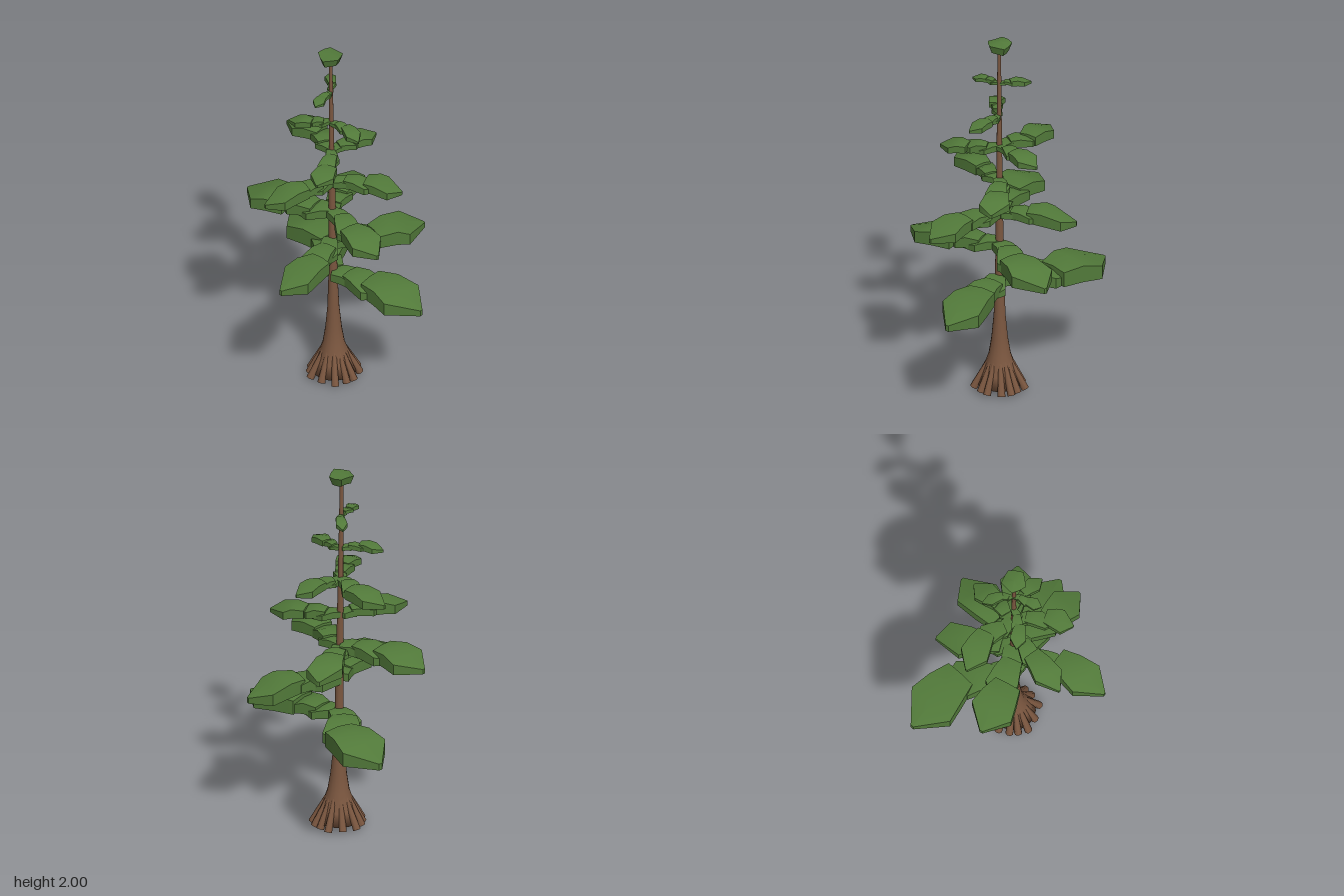
import * as THREE from 'three';
import { toCreasedNormals } from 'three/addons/utils/BufferGeometryUtils.js';

const bark = new THREE.MeshStandardMaterial({ color: 0x7a563f });
bark.name = 'bark brown';
const leaf = new THREE.MeshStandardMaterial({ color: 0x527a3a, side: THREE.DoubleSide });
leaf.name = 'leaf green';

// Trunk axis leans slightly from base to top
const axisAt = (y) => new THREE.Vector3(-0.021 - 0.007 * y, y, -0.042 + 0.006 * y);

// Arched leaf slab from base to tip, thinning outward; k pushes one wide corner out
function frond(y, bx, bz, tx, tz, w, k = 0) {
  const len = Math.hypot(tx - bx, tz - bz);
  const dx = (tx - bx) / len, dz = (tz - bz) / len;
  // along, half width, top height, underside height
  const rows = [[0, 0.62, 0.13, -0.1], [0.31, 0.84, 0.17, -0.09], [0.61, 1, 0.09, -0.12], [1, 0.07, -0.07, -0.17]];
  const pos = [];
  for (const layer of [2, 3]) {
    rows.forEach((row, i) => {
      for (const s of [-1, 0, 1]) {
        const along = (row[0] + (i === 2 ? s * k : 0)) * len, side = s * row[1] * w;
        pos.push(
          bx + dx * along - dz * side,
          y + (row[layer] - 0.04 * Math.abs(s) * row[1]) * len,
          bz + dz * along + dx * side);
      }
    });
  }
  const idx = [];
  for (let i = 0; i < 3; i++) {
    for (let j = 0; j < 2; j++) {
      const a = i * 3 + j, b = a + 12;
      idx.push(a, a + 1, a + 3, a + 1, a + 4, a + 3);
      idx.push(b, b + 3, b + 1, b + 1, b + 3, b + 4);
    }
  }
  const ring = [0, 1, 2, 5, 8, 11, 10, 9, 6, 3];
  ring.forEach((p, i) => {
    const q = ring[(i + 1) % ring.length];
    idx.push(p + 12, q + 12, q, p + 12, q, p);
  });
  const g = new THREE.BufferGeometry();
  g.setAttribute('position', new THREE.Float32BufferAttribute(pos, 3));
  g.setIndex(idx);
  const mesh = new THREE.Mesh(toCreasedNormals(g, 0.7), leaf);
  mesh.name = 'frond';
  return mesh;
}

// Branch: two small overlapping fronds lead out to the large end frond
function branch(y, bx, bz, tx, tz, w, k) {
  const g = new THREE.Group();
  g.name = 'branch';
  const c = axisAt(y);
  const ex = bx + (tx - bx) * 0.2, ez = bz + (tz - bz) * 0.2;
  const at = (t, off) => [
    c.x + (ex - c.x) * t - (ez - c.z) * off,
    c.z + (ez - c.z) * t + (ex - c.x) * off];
  g.add(frond(y, bx, bz, tx, tz, w, k));
  g.add(frond(y, ...at(0.32, -0.05), ...at(1.12, 0.12), w * 0.72, 0.08));
  g.add(frond(y - 0.006, ...at(0.02, 0.04), ...at(0.66, -0.14), w * 0.55, -0.08));
  return g;
}

export function createModel() {
  const model = new THREE.Group();
  model.name = 'tree';

  // Trunk with flared foot
  const profile = [[0, 0.035], [0.116, 0.035], [0.09, 0.1], [0.057, 0.2], [0.043, 0.29],
    [0.031, 0.42], [0.024, 0.6], [0.019, 1], [0.014, 1.4], [0.009, 1.96]];
  const trunkGeo = new THREE.LatheGeometry(profile.map((p) => new THREE.Vector2(...p)), 16);
  const p = trunkGeo.attributes.position;
  for (let i = 0; i < p.count; i++) {
    const c = axisAt(p.getY(i));
    p.setX(i, p.getX(i) + c.x);
    p.setZ(i, p.getZ(i) + c.z);
  }
  const trunk = new THREE.Mesh(trunkGeo, bark);
  trunk.name = 'trunk';
  model.add(trunk);

  // Roots fanning around the foot
  const roots = new THREE.Group();
  roots.name = 'roots';
  for (let i = 0; i < 13; i++) {
    const a = (i / 13) * Math.PI * 2 + 0.12 * Math.sin(i * 5.1);
    const r = 0.128 + 0.008 * Math.sin(i * 3.7);
    const top = axisAt(0.17).add(new THREE.Vector3(Math.cos(a) * 0.054, 0, Math.sin(a) * 0.054));
    const end = axisAt(0.014).add(new THREE.Vector3(Math.cos(a) * r, 0, Math.sin(a) * r));
    const dir = top.clone().sub(end);
    const root = new THREE.Mesh(new THREE.CylinderGeometry(0.011, 0.021, dir.length(), 7), bark);
    root.position.copy(top).add(end).multiplyScalar(0.5);
    root.quaternion.setFromUnitVectors(new THREE.Vector3(0, 1, 0), dir.normalize());
    root.name = 'root';
    roots.add(root);
  }
  model.add(roots);

  // Branches by tier: y, base x z, tip x z, half width, corner shift
  const lower = [
    [0.645, -0.185, -0.26, -0.53, -0.36, 0.135, 0],
    [0.64, 0.19, -0.065, 0.525, -0.055, 0.12, -0.05],
    [0.84, 0.055, 0.17, 0.015, 0.465, 0.097, -0.05],
    [0.835, 0.12, -0.19, 0.235, -0.47, 0.105, -0.1],
    [1.02, -0.24, 0.04, -0.515, 0.03, 0.115, 0],
    [1.02, 0.15, 0.06, 0.385, 0.13, 0.09, 0],
    [1.015, -0.095, -0.17, -0.17, -0.41, 0.085, 0.14],
  ];
  const upper = [
    [1.2, -0.095, 0.1, -0.195, 0.315, 0.072, -0.07],
    [1.205, 0.12, -0.125, 0.305, -0.185, 0.075, 0.1],
    [1.4, -0.16, -0.125, -0.38, -0.125, 0.075, 0],
    [1.395, 0.06, 0.1, 0.085, 0.25, 0.062, 0.05],
    [1.4, 0.01, -0.14, 0.05, -0.305, 0.06, -0.05],
    [1.58, -0.1, 0.04, -0.22, 0.08, 0.042, 0],
    [1.575, 0.06, -0.03, 0.18, 0.02, 0.042, 0],
    [1.765, -0.06, -0.08, -0.14, -0.16, 0.03, 0],
    [1.765, -0.03, 0.04, -0.02, 0.12, 0.032, 0],
  ];
  for (const b of [...lower, ...upper]) model.add(branch(...b));

  // Crown tuft: a small lobed cap, wider at the top
  const tuftGeo = new THREE.CylinderGeometry(0.062, 0.046, 0.045, 10);
  const t = tuftGeo.attributes.position;
  for (let i = 0; i < t.count; i++) {
    const x = t.getX(i), z = t.getZ(i), a = Math.atan2(z, x);
    const s = 1 + 0.15 * Math.sin(a * 5 + 1);
    const lift = Math.hypot(x, z) < 0.01 ? 0.01 : 0.006 * Math.sin(a * 2 + 1);
    t.setXYZ(i, x * s, t.getY(i) + lift, z * s);
  }
  const tuft = new THREE.Mesh(toCreasedNormals(tuftGeo, 0.5), leaf);
  tuft.position.copy(axisAt(1.9675));
  tuft.name = 'crownTuft';
  model.add(tuft);

  return model;
}
